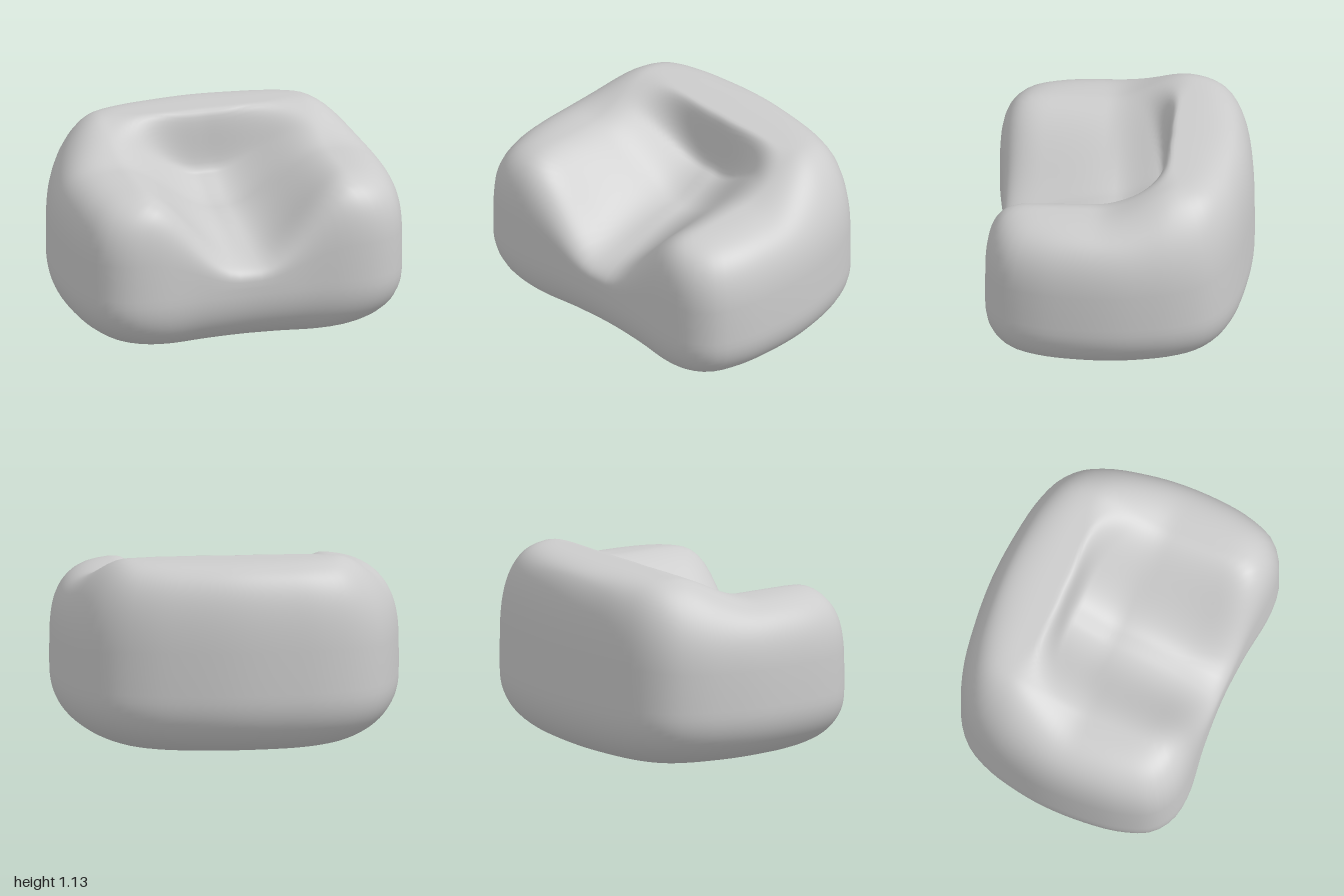
import * as THREE from 'three';

const step = THREE.MathUtils.smoothstep;
const SEGMENTS = 96;
const RINGS = 30;

// Plan outline: half of it from back centre to front centre, then mirrored
function planOutline() {
  const half = [[0, -0.76], [0.3, -0.74], [0.54, -0.7], [0.72, -0.63], [0.84, -0.53], [0.92, -0.38],
    [0.97, -0.2], [1, 0], [1, 0.25], [0.97, 0.47], [0.9, 0.64], [0.78, 0.725], [0.62, 0.75], [0.3, 0.715], [0, 0.7]];
  const mirrored = half.slice(1, -1).reverse().map(([x, z]) => [-x, z]);
  const points = [...half, ...mirrored].map(([x, z]) => new THREE.Vector3(x, 0, z));
  return new THREE.CatmullRomCurve3(points, true).getSpacedPoints(SEGMENTS).slice(0, SEGMENTS);
}

// Top surface: high back, lower arms, and a seat hollow that rolls over the front
function topPoint(x, z) {
  const side = Math.abs(x);
  const rim = 0.975 + 0.155 * (1 - step(z, -0.36, 0.12)) * (1 - step(side, 0.6, 1.05));
  const backLine = -0.42 + 0.5 * x * x;
  const across = 1 - step(side, 0.04, 0.62);
  const hollow = across * step(z, backLine, backLine + 0.2);
  const seat = 0.66 - 0.14 * step(z, 0, 0.75) + 0.12 * (1 - step(z, -0.3, 0.05));
  // The top of the backrest leans forward over the seat
  const lean = 0.12 * (across - hollow) * step(z, -0.65, -0.38) * (1 - step(z, 0, 0.3));
  // The front wall starts to round over lower down below the seat
  const shoulder = 0.5 - 0.1 * across * step(z, 0.2, 0.7);
  return { height: THREE.MathUtils.lerp(rim, seat, hollow), lean, shoulder };
}

// Quarter superellipse that rounds the edges
const rounding = (k, start, power) =>
  Math.pow(1 - Math.pow(THREE.MathUtils.clamp((k - start) / (1 - start), 0, 1), power), 1 / power);

function createBody() {
  const outline = planOutline();
  const positions = [];
  const index = [];

  // Underside from the centre out to the widest line
  for (let i = 0; i <= RINGS; i++) {
    const k = Math.sin((i / RINGS) * Math.PI / 2);
    const y = 0.39 * (1 - rounding(k, 0.4, 2.4));
    for (const p of outline) positions.push(p.x * k, y, p.z * k);
  }
  // Upper side from the widest line in to the centre
  const topRings = RINGS * 2;
  for (let i = 0; i <= topRings; i++) {
    const k = 1 - Math.pow(i / topRings, 1.6);
    for (const p of outline) {
      const x = p.x * k, z = p.z * k;
      const { height, lean, shoulder } = topPoint(x, z);
      positions.push(x, shoulder + (height - shoulder) * rounding(k, 0.62, 3), z + lean);
    }
  }

  // Skin the rings, closing both centres with single triangles
  const rows = RINGS + topRings + 2;
  for (let i = 0; i < rows - 1; i++) {
    for (let j = 0; j < SEGMENTS; j++) {
      const n = (j + 1) % SEGMENTS;
      const a = i * SEGMENTS + j, b = a + SEGMENTS;
      const c = i * SEGMENTS + n, d = c + SEGMENTS;
      if (i > 0) index.push(a, b, c);
      if (i === 0) index.push(a, b, d);
      else if (i < rows - 2) index.push(c, b, d);
    }
  }
  const geometry = new THREE.BufferGeometry();
  geometry.setAttribute('position', new THREE.Float32BufferAttribute(positions, 3));
  geometry.setIndex(index);
  geometry.computeVertexNormals();
  return geometry;
}

export function createModel() {
  const group = new THREE.Group();
  group.name = 'softArmchair';
  const body = new THREE.Mesh(createBody(), new THREE.MeshStandardMaterial({ color: 0xcccccc }));
  body.name = 'cushionBody';
  group.add(body);
  return group;
}
